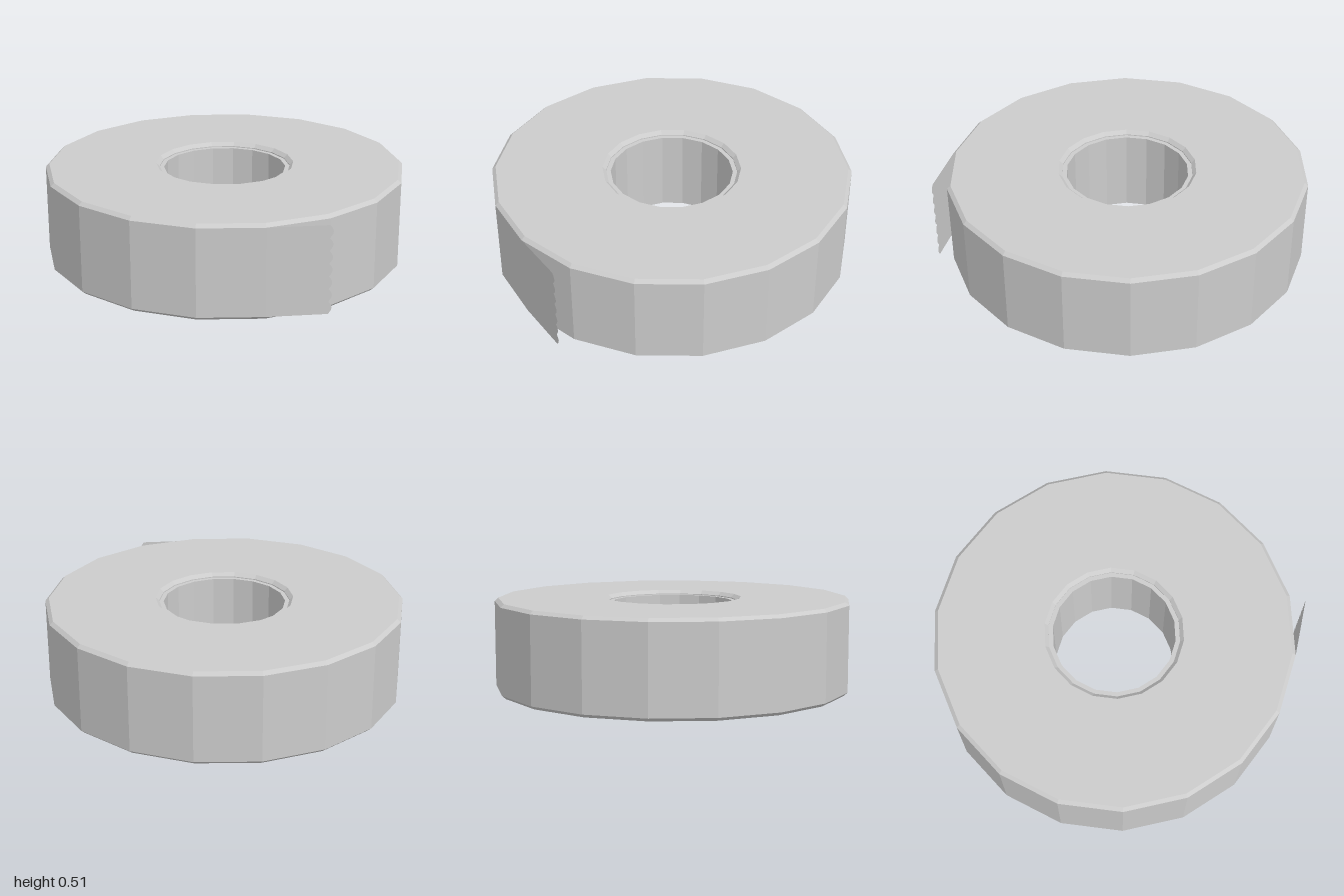
import * as THREE from 'three';

const SIDES = 18;
const HEIGHT = 0.515;

// Faceted ring from a closed [radius, y] profile, with a corner on the x axis
function ring(name, profile, material) {
  const points = [...profile, profile[0]].map(([r, y]) => new THREE.Vector2(r, y));
  const geometry = new THREE.LatheGeometry(points, SIDES, Math.PI / 2).toNonIndexed();
  geometry.computeVertexNormals();
  const mesh = new THREE.Mesh(geometry, material);
  mesh.name = name;
  return mesh;
}

export function createModel() {
  const group = new THREE.Group();
  group.name = 'tapeRoll';
  const material = new THREE.MeshStandardMaterial({ color: 0xcccccc, flatShading: true });

  // Wound tape with bevelled outer and inner rims
  group.add(ring('woundTape', [
    [0.365, 0.02], [0.385, 0], [0.98, 0], [1, 0.018],
    [1, HEIGHT - 0.018], [0.98, HEIGHT], [0.385, HEIGHT], [0.365, HEIGHT - 0.02],
  ], material));

  // Thin core tube, slightly recessed
  group.add(ring('core', [
    [0.34, 0.025], [0.366, 0.025], [0.366, HEIGHT - 0.025], [0.34, HEIGHT - 0.025],
  ], material));

  // Loose tape end, leaving the roll at a corner, with a torn wavy edge
  const start = new THREE.Vector2(Math.cos(Math.PI * 80 / 180), Math.sin(Math.PI * 80 / 180));
  const length = 0.325, bottom = 0.018, top = HEIGHT - 0.018, teeth = 7, steps = 42;
  const outline = new THREE.Shape();
  outline.moveTo(0, bottom);
  for (let i = 0; i <= steps; i++) {
    const t = i / steps;
    const wave = Math.abs(Math.sin(Math.PI * teeth * t));
    outline.lineTo(length - 0.008 + 0.018 * wave, bottom + (top - bottom) * t);
  }
  outline.lineTo(0, top);
  const flapMaterial = material.clone();
  flapMaterial.side = THREE.DoubleSide;
  const flap = new THREE.Mesh(new THREE.ShapeGeometry(outline), flapMaterial);
  flap.name = 'looseTapeEnd';
  flap.position.set(start.x, 0, start.y);
  flap.rotation.y = 0.085;
  group.add(flap);

  return group;
}
